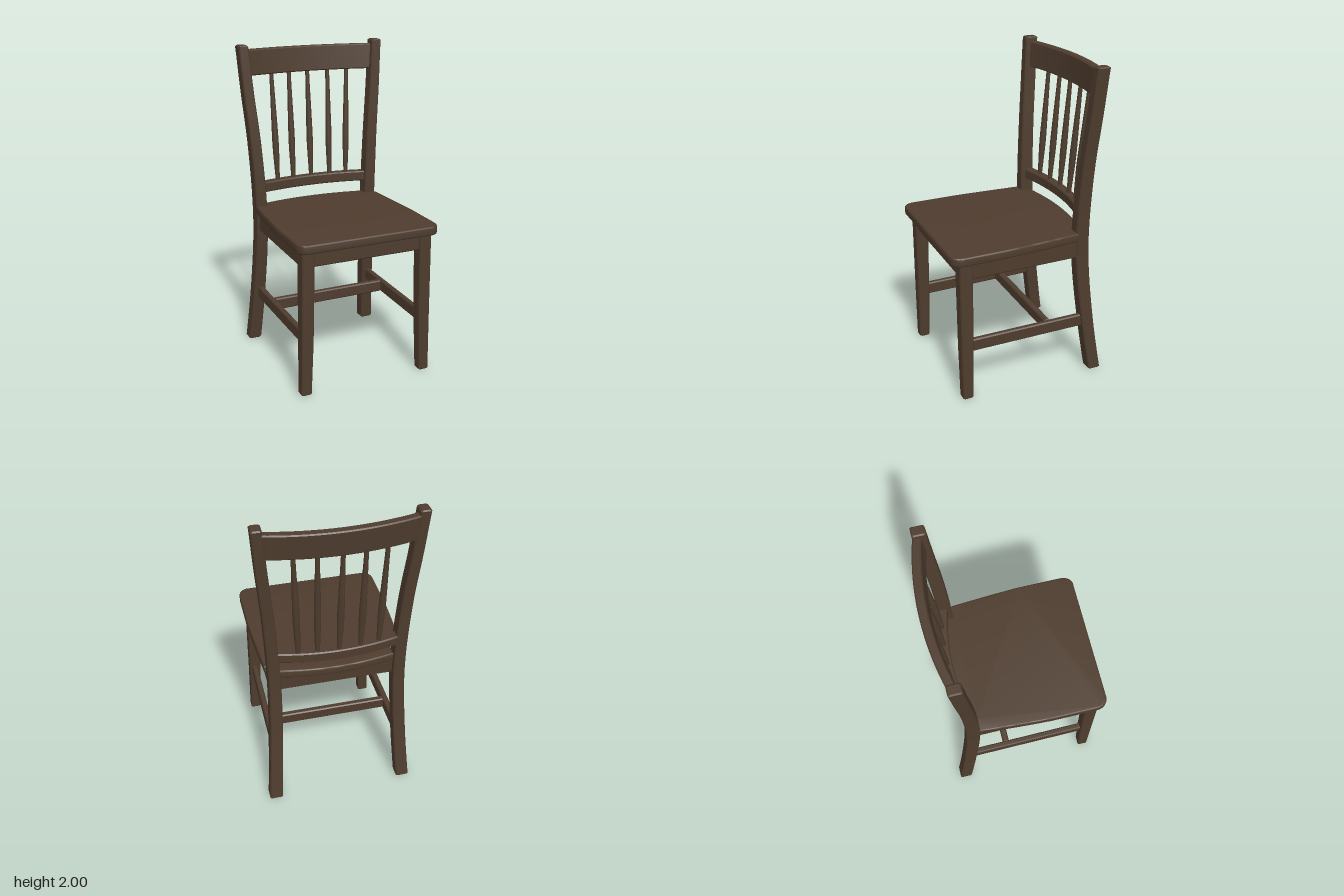
import * as THREE from 'three';
import { toCreasedNormals } from 'three/addons/utils/BufferGeometryUtils.js';

const wood = new THREE.MeshStandardMaterial({ color: 0x4e3c2e });
wood.name = 'darkWood';

// Chamfered bar along an axis (0 x, 1 y, 2 z) through stations [x, y, z, sizeU, sizeV];
// U and V are the next two axes in cyclic order. rule(v) may bend each vertex.
function bar(axis, stations, rule = () => {}, chamfer = 0.007) {
  const u = (axis + 1) % 3, v = (axis + 2) % 3;
  const ends = [0, stations.length - 1].map((i) => {
    const s = stations[i].slice();
    s[3] -= 2 * chamfer;
    s[4] -= 2 * chamfer;
    return s;
  });
  const inner = stations.map((s) => s.slice());
  inner[0][axis] += chamfer;
  inner[inner.length - 1][axis] -= chamfer;
  const rings = [ends[0], ...inner, ends[1]].map((s) => {
    const a = s[3] / 2, b = s[4] / 2, c = chamfer;
    return [[a, -b + c], [a, b - c], [a - c, b], [-a + c, b],
      [-a, b - c], [-a, -b + c], [-a + c, -b], [a - c, -b]].map(([du, dv]) => {
      const p = new THREE.Vector3(s[0], s[1], s[2]);
      p.setComponent(u, p.getComponent(u) + du);
      p.setComponent(v, p.getComponent(v) + dv);
      rule(p);
      return p;
    });
  });
  const tris = [], n = 8, last = rings[rings.length - 1];
  for (let i = 0; i + 1 < rings.length; i++) {
    for (let j = 0; j < n; j++) {
      const k = (j + 1) % n, A = rings[i], B = rings[i + 1];
      tris.push(A[j], A[k], B[k], A[j], B[k], B[j]);
    }
  }
  for (let j = 1; j < n - 1; j++) {
    tris.push(rings[0][0], rings[0][j + 1], rings[0][j], last[0], last[j], last[j + 1]);
  }
  return toCreasedNormals(new THREE.BufferGeometry().setFromPoints(tris), 0.5);
}

// Straight bar between two stations
const straight = (axis, a, b) => bar(axis, [a, b]);

// Bowed back rail: z follows a parabola across the width
function bowedRail(half, y, height, zMid, bow, depth, rake) {
  const stations = [];
  for (let i = 0; i <= 20; i++) {
    const t = i / 10 - 1;
    stations.push([t * half, y, zMid + bow * t * t, height, depth]);
  }
  return bar(0, stations, (p) => { p.z -= (p.y - y) * rake; });
}

export function createModel() {
  const chair = new THREE.Group();
  chair.name = 'chair';
  const back = new THREE.Group();
  back.name = 'backrest';
  back.position.x = 0.003;
  const base = new THREE.Group();
  base.name = 'base';
  base.position.x = 0.008;
  chair.add(back, base);
  const add = (parent, name, geometry) => {
    const mesh = new THREE.Mesh(geometry, wood);
    mesh.name = name;
    parent.add(mesh);
    return mesh;
  };

  // Seat: tapered to the back, with a bowed tongue between the posts
  const s = new THREE.Shape();
  s.moveTo(-0.4, -0.505);
  s.lineTo(0.4, -0.505);
  s.bezierCurveTo(0.43, -0.505, 0.458, -0.475, 0.458, -0.43);
  s.lineTo(0.458, -0.15);
  s.quadraticCurveTo(0.452, 0.02, 0.43, 0.315);
  s.lineTo(0.355, 0.315);
  s.lineTo(0.355, 0.375);
  s.quadraticCurveTo(0, 0.455, -0.355, 0.375);
  s.lineTo(-0.355, 0.315);
  s.lineTo(-0.43, 0.315);
  s.quadraticCurveTo(-0.452, 0.02, -0.458, -0.15);
  s.lineTo(-0.458, -0.43);
  s.bezierCurveTo(-0.458, -0.475, -0.43, -0.505, -0.4, -0.505);
  const seat = new THREE.ExtrudeGeometry(s, {
    depth: 0.037, bevelThickness: 0.009, bevelSize: 0.009, bevelOffset: -0.009,
    bevelSegments: 3, curveSegments: 12,
  });
  seat.rotateX(-Math.PI / 2).translate(0, 0.934, 0);
  add(base, 'seat', toCreasedNormals(seat, 0.6));

  for (const [side, m] of [['left', 1], ['right', -1]]) {
    // Rear leg and back post in one curved piece
    const path = new THREE.CatmullRomCurve3([
      [0.425, 0, -0.455], [0.403, 0.35, -0.405], [0.387, 0.75, -0.362], [0.389, 1, -0.353],
      [0.41, 1.4, -0.367], [0.436, 1.7, -0.39], [0.457, 2, -0.412],
    ].map(([x, y, z]) => new THREE.Vector3(m * x, y, z)));
    const stations = path.getPoints(30).map((p) => [
      p.x, p.y, p.z,
      0.08 + 0.008 * Math.exp(-(((p.y - 0.9) / 0.4) ** 2)),
      THREE.MathUtils.lerp(0.083, 0.063, p.y / 2),
    ]);
    add(back, side + 'RearPost', bar(1, stations));

    // Front leg, tapering downwards
    add(base, side + 'FrontLeg', bar(1, [
      [m * 0.402, 0, 0.417, 0.066, 0.066], [m * 0.392, 0.35, 0.415, 0.077, 0.074],
      [m * 0.384, 0.935, 0.413, 0.085, 0.08],
    ]));
    // Side apron and side stretcher
    add(base, side + 'Apron',
      straight(2, [m * 0.39, 0.87, -0.34, 0.04, 0.122], [m * 0.39, 0.87, 0.4, 0.04, 0.122]));
    add(base, side + 'Stretcher',
      straight(2, [m * 0.4, 0.361, -0.4, 0.036, 0.08], [m * 0.394, 0.361, 0.41, 0.036, 0.08]));
  }

  // Front and rear aprons, cross stretcher
  for (const [name, y, z, h, d] of [
    ['frontApron', 0.876, 0.42, 0.114, 0.04],
    ['rearApron', 0.876, -0.345, 0.114, 0.04],
    ['crossStretcher', 0.362, -0.14, 0.076, 0.04],
  ]) {
    add(base, name, straight(0, [-0.385, y, z, h, d], [0.385, y, z, h, d]));
  }

  // Bowed rails
  add(back, 'topRail', bowedRail(0.445, 1.89, 0.16, -0.473, 0.058, 0.052, 0.09));
  add(back, 'lowerRail', bowedRail(0.38, 1.092, 0.066, -0.413, 0.05, 0.062, 0));

  // Turned spindles fanning out towards the top
  const up = new THREE.Vector3(0, 1, 0);
  for (const [bottomX, topX] of [[-0.245, -0.255], [-0.13, -0.13], [0, 0], [0.13, 0.14], [0.243, 0.27]]) {
    const a = new THREE.Vector3(bottomX, 1.1, -0.413 + 0.05 * (bottomX / 0.38) ** 2);
    const b = new THREE.Vector3(topX, 1.84, -0.468 + 0.058 * (topX / 0.445) ** 2);
    const length = a.distanceTo(b);
    const profile = new THREE.SplineCurve([
      [0.013, 0], [0.017, 0.15], [0.021, 0.35], [0.018, 0.6], [0.014, 0.85], [0.013, 1],
    ].map(([r, t]) => new THREE.Vector2(r, t * length))).getPoints(16);
    const spindle = add(back, 'spindle', new THREE.LatheGeometry(profile, 14));
    spindle.position.copy(a);
    spindle.quaternion.setFromUnitVectors(up, b.clone().sub(a).normalize());
  }
  return chair;
}
